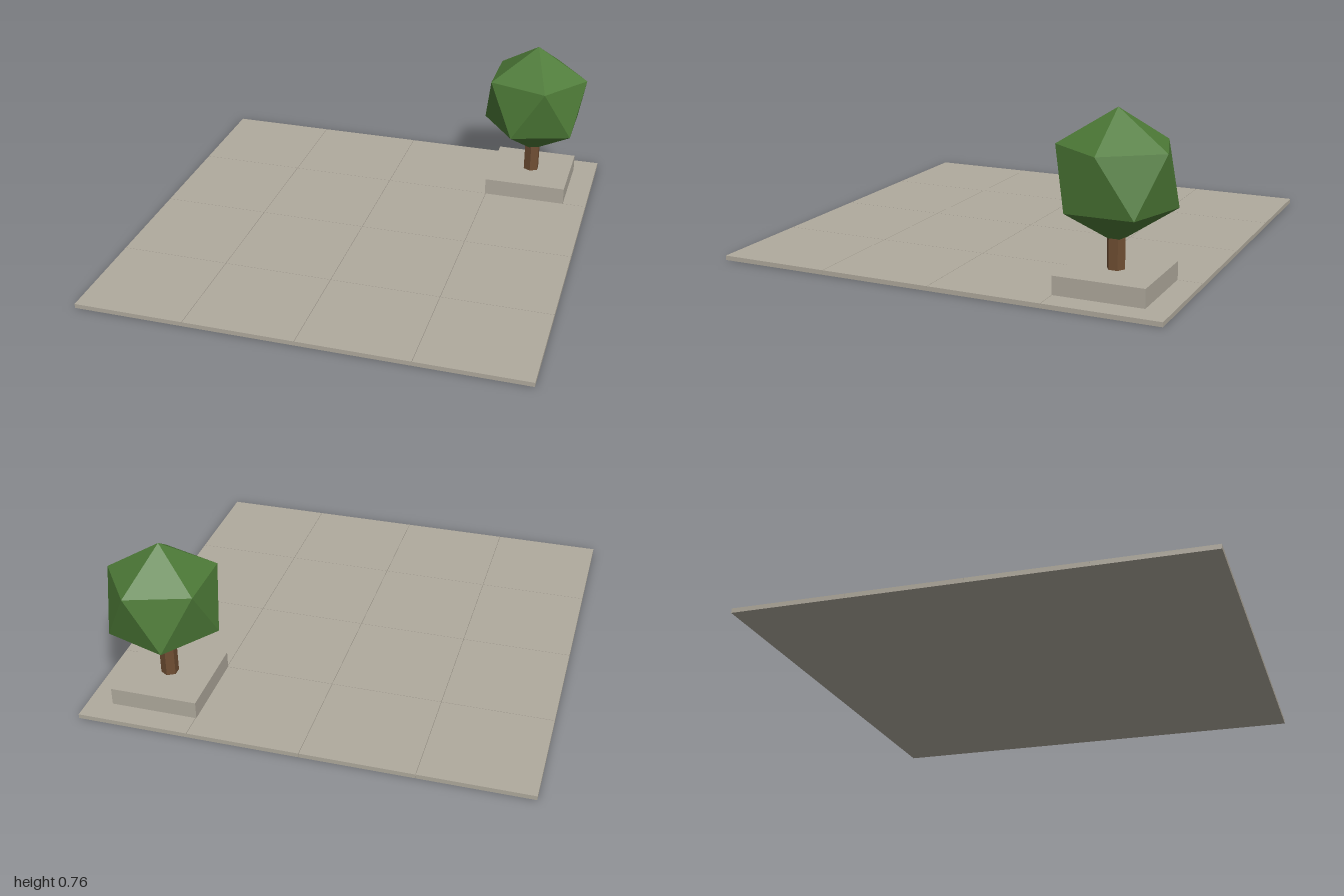
import * as THREE from 'three';
import { ConvexGeometry } from 'three/addons/geometries/ConvexGeometry.js';

export function createModel() {
  const model = new THREE.Group();
  model.name = 'pavedCornerWithTree';

  const material = (name, color) => {
    const m = new THREE.MeshStandardMaterial({ color, flatShading: true });
    m.name = name;
    return m;
  };
  const stone = material('stone', 0xb0aa9d);
  const bark = material('bark', 0x6f4e33);
  const leaf = material('leaf', 0x4d7a37);

  const add = (parent, name, geometry, mat, x, y, z) => {
    const mesh = new THREE.Mesh(geometry, mat);
    mesh.name = name;
    mesh.position.set(x, y, z);
    parent.add(mesh);
    return mesh;
  };

  // Paving: thin bed with a 4 x 4 grid of slabs separated by hairline joints
  const paving = new THREE.Group();
  paving.name = 'paving';
  model.add(paving);
  add(paving, 'bed', new THREE.BoxGeometry(1.998, 0.012, 1.998), stone, 0, 0.006, 0);
  const size = 0.4985;
  const pitch = (2 - size) / 3;
  const slab = new THREE.BoxGeometry(size, 0.02, size);
  for (let i = 0; i < 4; i++) {
    for (let j = 0; j < 4; j++) {
      add(paving, 'slab', slab, stone, (i - 1.5) * pitch, 0.01, (j - 1.5) * pitch);
    }
  }

  // Tree standing on a square plinth in the back corner
  const tree = new THREE.Group();
  tree.name = 'tree';
  tree.position.set(0.693, 0, -0.695);
  model.add(tree);
  add(tree, 'plinth', new THREE.BoxGeometry(0.392, 0.08, 0.392), stone, 0, 0.06, 0);
  add(tree, 'trunk', new THREE.CylinderGeometry(0.039, 0.039, 0.18, 6), bark, 0, 0.19, 0);

  // Crown: icosahedron with its poles vertical and two staggered rings of five
  const r = 0.276;
  const points = [new THREE.Vector3(0, r, 0), new THREE.Vector3(0, -r, 0)];
  for (let k = 0; k < 5; k++) {
    const a = (k * Math.PI * 2) / 5;
    const x = (Math.cos(a) * 2 * r) / Math.sqrt(5);
    const z = (Math.sin(a) * 2 * r) / Math.sqrt(5);
    const y = r / Math.sqrt(5);
    points.push(new THREE.Vector3(x, y, z), new THREE.Vector3(-x, -y, -z));
  }
  add(tree, 'crown', new ConvexGeometry(points), leaf, 0, 0.481, 0);

  return model;
}
